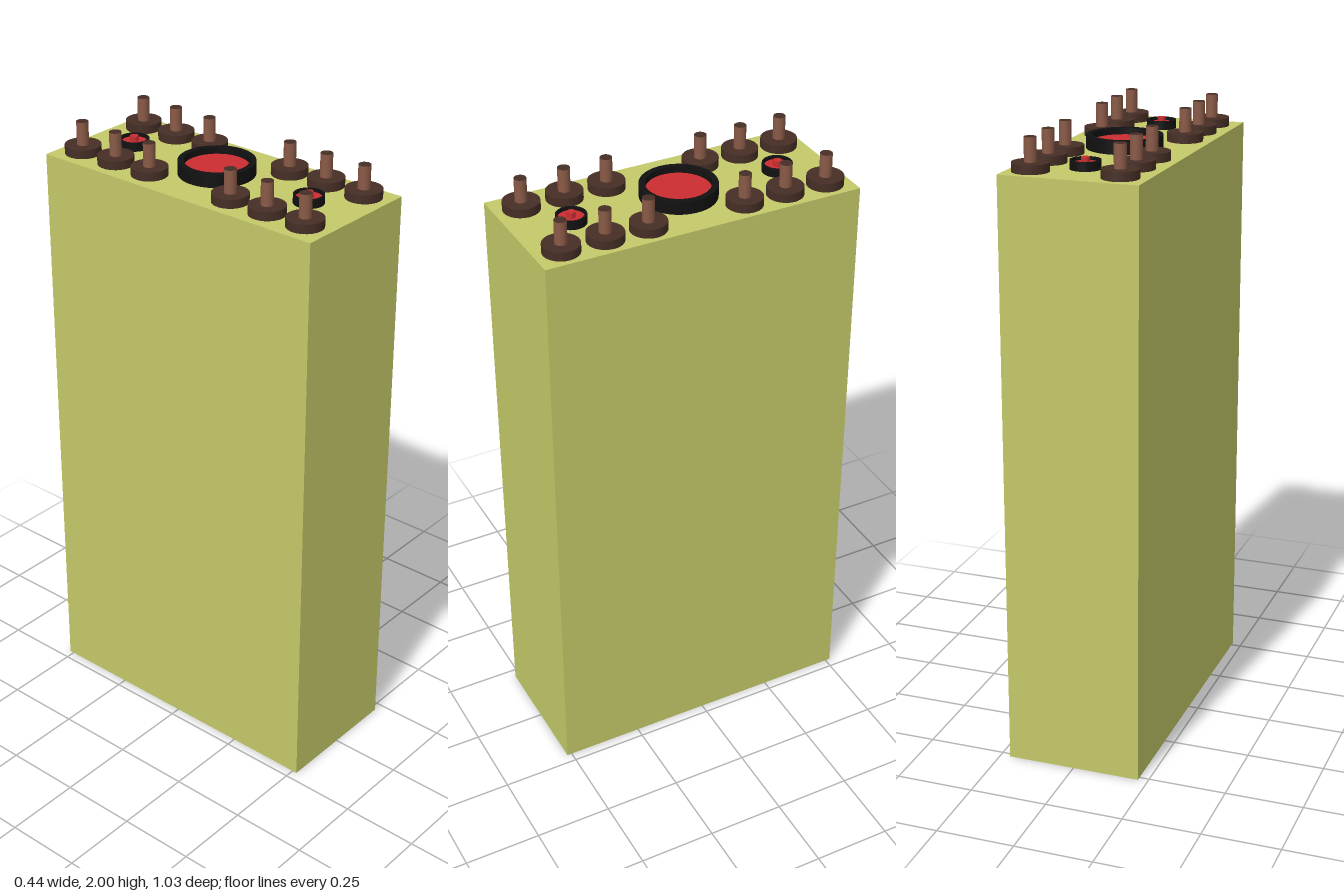
import * as THREE from 'three';

const mat = (name, color, side = THREE.FrontSide) => {
  const m = new THREE.MeshStandardMaterial({ color, side });
  m.name = name;
  return m;
};

export function createModel() {
  const casing = mat('olive yellow casing', 0xc4c968);
  const darkBrown = mat('dark brown', 0x452e25);
  const copper = mat('copper brown', 0x8a5a47);
  const black = mat('black rim', 0x111111);
  const red = mat('red', 0xcb2d30);

  const model = new THREE.Group();
  model.name = 'batteryCell';
  const TOP = 1.898;

  const add = (parent, name, geometry, material, y = 0) => {
    const mesh = new THREE.Mesh(geometry, material);
    mesh.name = name;
    mesh.position.y = y;
    parent.add(mesh);
    return mesh;
  };
  const groupAt = (name, x, z) => {
    const g = new THREE.Group();
    g.name = name;
    g.position.set(x, TOP, z);
    model.add(g);
    return g;
  };

  // Tall casing
  add(model, 'casing', new THREE.BoxGeometry(0.436, TOP, 1.032), casing, TOP / 2);

  // Twelve terminals: round base and a copper post with a dark end
  const baseGeo = new THREE.CylinderGeometry(0.057, 0.057, 0.028, 32);
  const postGeo = new THREE.CylinderGeometry(0.019, 0.019, 0.102, 20);
  for (const x of [-0.134, 0.144]) {
    for (const z of [-0.438, -0.3, -0.162, 0.155, 0.293, 0.432]) {
      const terminal = groupAt('terminal', x, z);
      add(terminal, 'terminalBase', baseGeo, darkBrown, 0.014);
      add(terminal, 'terminalPost', postGeo, [copper, darkBrown, copper], 0.051);
    }
  }

  // Round cap: hollow black rim around a recessed red disc
  const cap = (name, z, outer, inner, height, discHeight) => {
    const g = groupAt(name, 0.006, z);
    const ring = new THREE.Shape().absarc(0, 0, outer, 0, Math.PI * 2);
    ring.holes.push(new THREE.Path().absarc(0, 0, inner, 0, Math.PI * 2, true));
    const rim = new THREE.ExtrudeGeometry(ring, { depth: height, bevelEnabled: false, curveSegments: 32 });
    rim.rotateX(-Math.PI / 2);
    add(g, 'capRim', rim, black);
    add(g, 'capDisc', new THREE.CylinderGeometry(inner, inner, discHeight, 48), red, discHeight / 2);
    return g;
  };
  cap('ventCap', -0.015, 0.119, 0.1, 0.042, 0.022);

  // Small caps with a raised centre pin
  for (const z of [-0.352, 0.336]) {
    const small = cap('smallCap', z, 0.047, 0.04, 0.028, 0.018);
    add(small, 'capPin', new THREE.CylinderGeometry(0.013, 0.013, 0.036, 20), red, 0.018);
  }

  return model;
}
